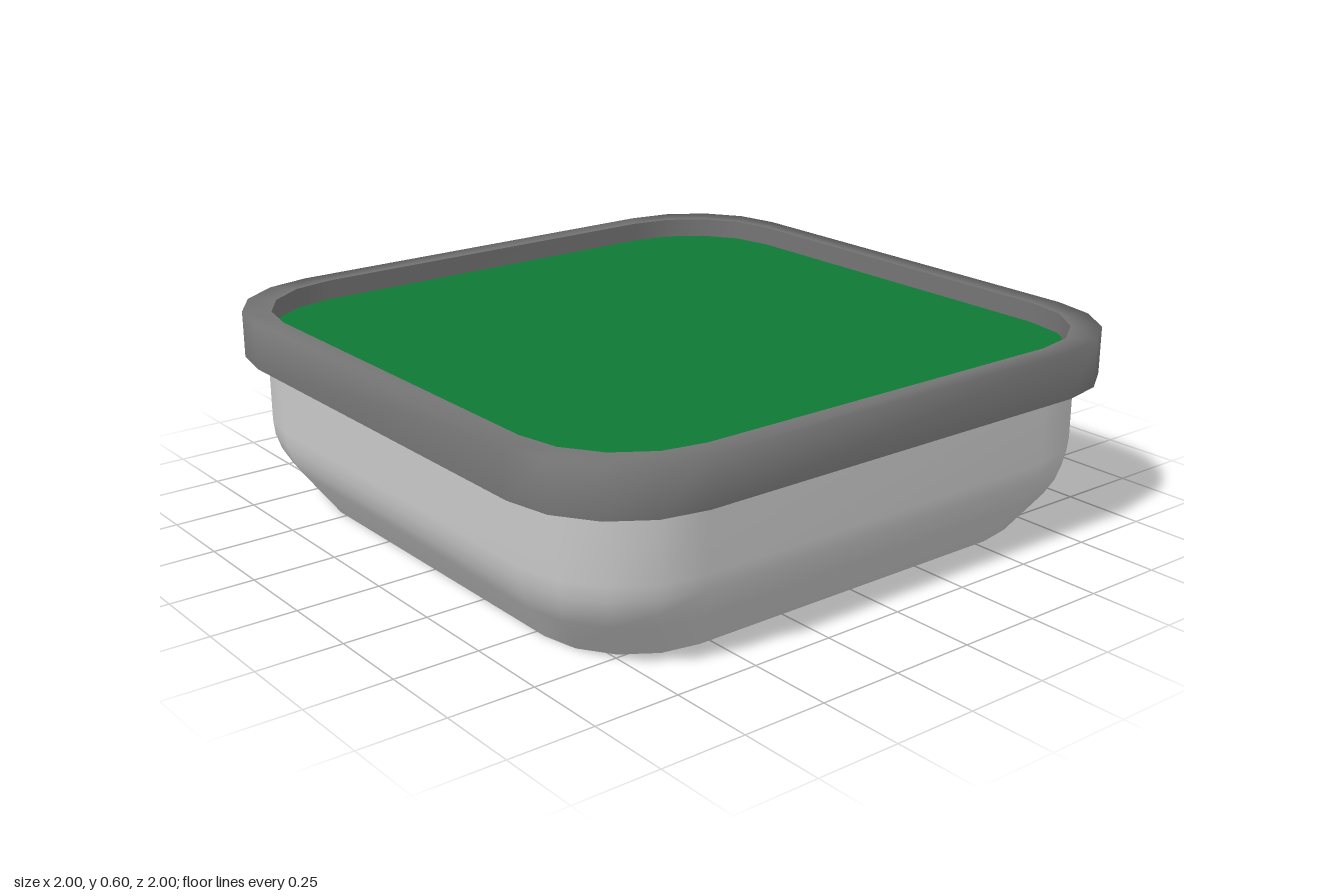
import * as THREE from 'three';

// Unit rounded-square outline: corner centres at 0.65, radius 0.35
const CENTRE = 0.65, RADIUS = 0.35, STEPS = 4;
const outline = [];
for (let c = 0; c < 4; c++) {
  const mid = (c + 0.5) * Math.PI / 2;
  const cx = CENTRE * Math.sign(Math.cos(mid)), cz = CENTRE * Math.sign(Math.sin(mid));
  for (let s = 0; s <= STEPS; s++) {
    const a = (c + s / STEPS) * Math.PI / 2;
    outline.push([cx + RADIUS * Math.cos(a), cz + RADIUS * Math.sin(a)]);
  }
}

// Skin a profile of [scale, height] rings; normals are smooth within one skin
function loft(profile) {
  const n = outline.length, positions = [], index = [];
  for (const [scale, y] of profile)
    for (const [x, z] of outline) positions.push(x * scale, y, z * scale);
  for (let r = 0; r < profile.length - 1; r++) {
    for (let i = 0; i < n; i++) {
      const a = r * n + i, b = r * n + (i + 1) % n;
      index.push(a, a + n, b, b, a + n, b + n);
    }
  }
  const g = new THREE.BufferGeometry();
  g.setAttribute('position', new THREE.Float32BufferAttribute(positions, 3));
  g.setIndex(index);
  g.computeVertexNormals();
  return g;
}

function material(name, color, side = THREE.FrontSide) {
  const m = new THREE.MeshStandardMaterial({ color, side });
  m.name = name;
  return m;
}

export function createModel() {
  const model = new THREE.Group();
  model.name = 'squareTray';
  const lightGrey = material('lightGrey', 0xc8c8c8, THREE.DoubleSide);
  const darkGrey = material('darkGrey', 0x747474, THREE.DoubleSide);
  const green = material('green', 0x0e7836, THREE.DoubleSide);

  const add = (name, profile, mat, parent = model) => {
    const mesh = new THREE.Mesh(loft(profile), mat);
    mesh.name = name;
    parent.add(mesh);
  };

  // Thin tapered body, open underneath
  add('body', [[0.82, 0], [0.905, 0.125], [0.928, 0.17], [0.941, 0.215],
    [0.945, 0.26], [0.945, 0.46]], lightGrey);

  // Overhanging rim: soft outer edge, sharp inner and lower edges
  const rim = new THREE.Group();
  rim.name = 'rim';
  model.add(rim);
  add('rimOuter', [[1, 0.46], [1, 0.6], [0.93, 0.6]], darkGrey, rim);
  add('rimInner', [[0.93, 0.6], [0.93, 0.46]], darkGrey, rim);
  add('rimUnderside', [[0.93, 0.46], [1, 0.46]], darkGrey, rim);

  // Flat panel sunk slightly below the rim
  add('topPanel', [[0.93, 0.54], [0, 0.54]], green);
  return model;
}
